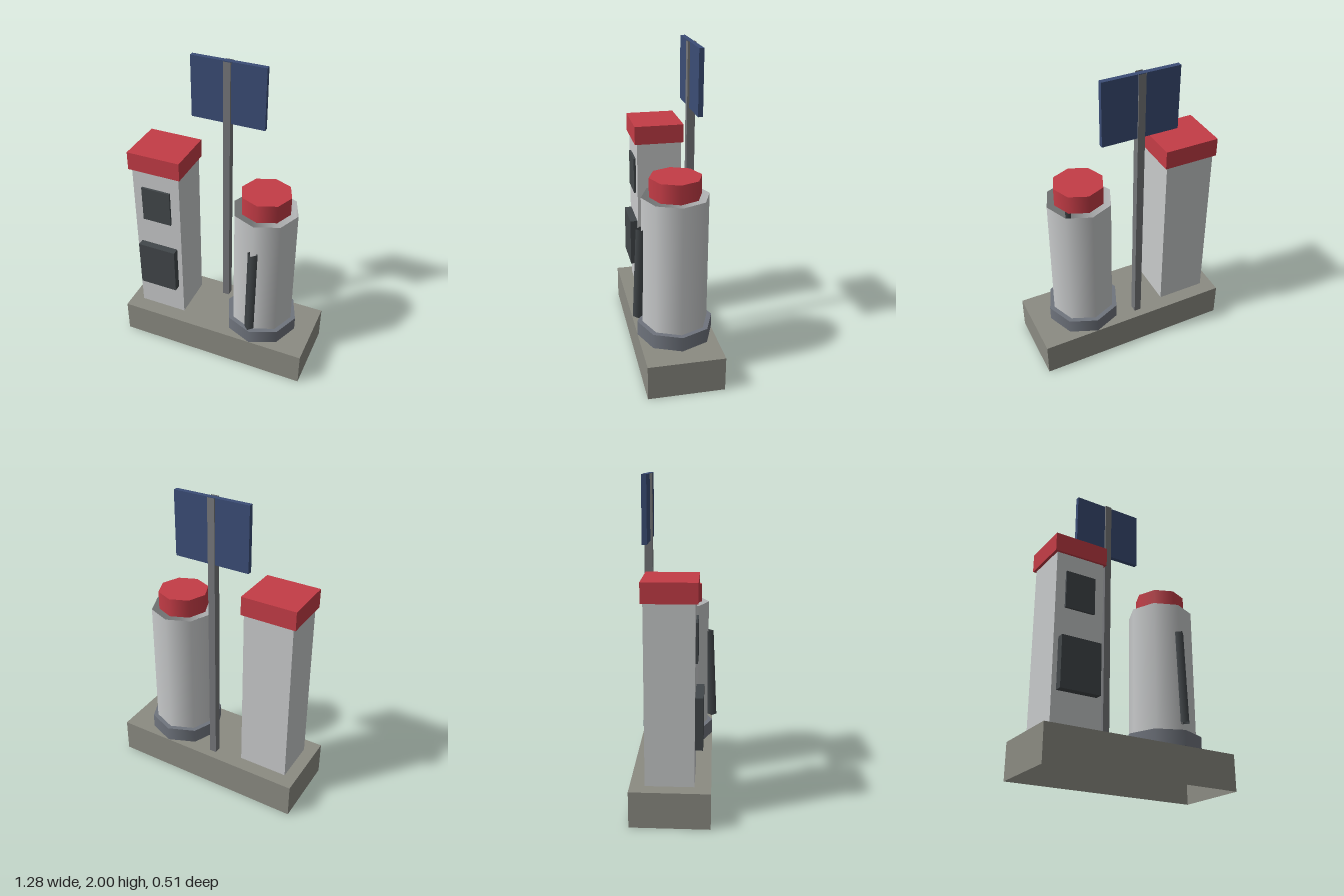
import * as THREE from 'three';

const mat = (name, color) => {
  const m = new THREE.MeshStandardMaterial({ color, side: THREE.DoubleSide });
  m.name = name;
  return m;
};

export function createModel() {
  const model = new THREE.Group();
  model.name = 'roadsideStation';
  const concrete = mat('concrete', 0x8b8b82);
  const lightGrey = mat('lightGrey', 0xc8cacb);
  const red = mat('red', 0xc43c46);
  const charcoal = mat('charcoal', 0x42474a);
  const slate = mat('slate', 0x6f747d);
  const steel = mat('steel', 0x75777a);
  const blue = mat('blue', 0x3b4d76);

  const add = (name, geometry, material) => {
    const mesh = new THREE.Mesh(geometry, material);
    mesh.name = name;
    model.add(mesh);
    return mesh;
  };
  // Box from its minimum and maximum corners
  const box = (name, material, [x0, y0, z0], [x1, y1, z1]) => {
    const g = new THREE.BoxGeometry(x1 - x0, y1 - y0, z1 - z0);
    g.translate((x0 + x1) / 2, (y0 + y1) / 2, (z0 + z1) / 2);
    return add(name, g, material);
  };
  // Removes chosen faces of a box (order: +x, -x, +y, -y, +z, -z)
  const openFaces = (mesh, faces) => {
    const index = Array.from(mesh.geometry.index.array);
    mesh.geometry.setIndex(index.filter((_, i) => !faces.includes(Math.floor(i / 6))));
    mesh.geometry.clearGroups();
  };
  // Smooth eight-sided drum on the shared tank axis
  const drum = (name, material, r, y0, y1, open = false) => {
    const g = new THREE.CylinderGeometry(r, r, y1 - y0, 8, 1, open);
    g.translate(0.28, (y0 + y1) / 2, -0.015);
    return add(name, g, material);
  };

  // Hollow plinth, open underneath
  openFaces(box('plinth', concrete, [-0.64, 0, -0.255], [0.64, 0.225, 0.225]), [3]);

  // Square cabinet with cap and two front panels
  box('cabinet', lightGrey, [-0.56, 0.227, -0.165], [-0.24, 1.32, 0.127]);
  box('cabinetCap', red, [-0.578, 1.32, -0.178], [-0.226, 1.44, 0.143]);
  box('upperPanel', charcoal, [-0.498, 0.96, 0.12], [-0.303, 1.2, 0.141]);
  box('lowerPanel', charcoal, [-0.53, 0.445, 0.12], [-0.272, 0.765, 0.175]);

  // Round tank: foot ring, open shell and lid
  drum('tankFoot', slate, 0.24, 0.227, 0.322);
  drum('tankShell', lightGrey, 0.208, 0.322, 1.16, true);
  drum('tankLid', red, 0.16, 1.16, 1.28);

  // Leaning open tube on the tank front
  const rod = new THREE.CylinderGeometry(0.032, 0.032, 0.596, 4, 1, true);
  const pos = rod.attributes.position;
  for (let i = 0; i < pos.count; i++) pos.setZ(i, pos.getZ(i) - pos.getY(i) * 0.045);
  rod.translate(0.28, 0.663, 0.208);
  add('leaningTube', rod, charcoal);

  // Square open-ended post carrying the flat board
  openFaces(box('post', steel, [-0.065, 0.225, -0.2], [-0.02, 2, -0.15]), [2, 3]);
  box('board', blue, [-0.28, 1.603, -0.193], [0.2, 2, -0.163]);

  return model;
}
